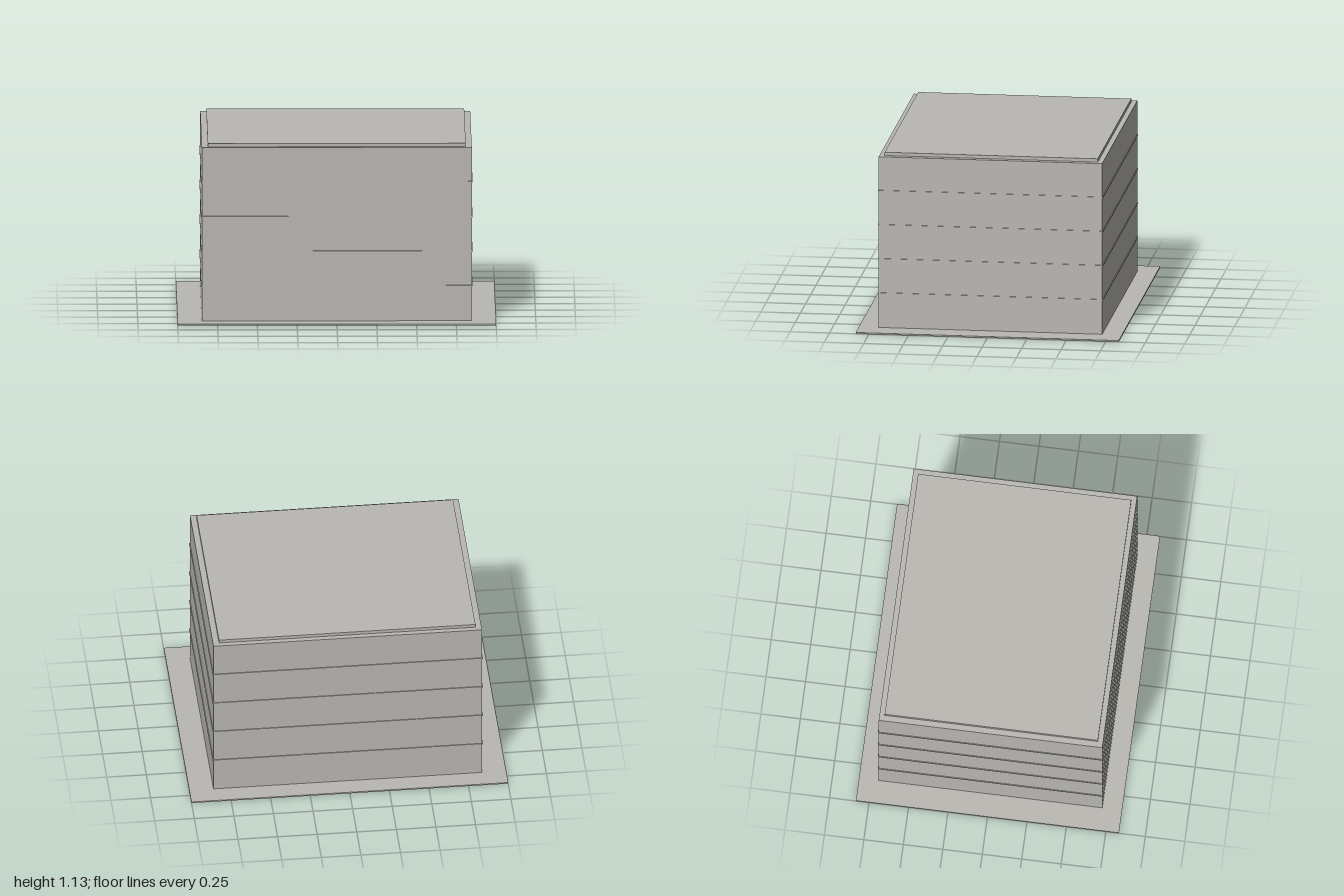
import * as THREE from 'three';

export function createModel() {
  const model = new THREE.Group();
  const concrete = new THREE.MeshStandardMaterial({ color: 0xbab8b3 });
  concrete.name = 'warm grey concrete';

  // Box placed by its underside, so parts stack upwards
  const addSlab = (name, width, height, depth, bottom) => {
    const mesh = new THREE.Mesh(new THREE.BoxGeometry(width, height, depth), concrete);
    mesh.name = name;
    mesh.position.y = bottom + height / 2;
    model.add(mesh);
  };

  const plinth = 0.009, storey = 0.2206, floors = 5, band = 0.008;
  const roofLevel = plinth + floors * storey;

  // Ground plate, main block and raised roof
  addSlab('groundPlate', 2, plinth, 1.666, 0);
  addSlab('buildingBlock', 1.696, roofLevel - plinth, 1.416, plinth);
  addSlab('roofSlab', 1.62, 0.021, 1.35, roofLevel);

  // Thin bands that mark each storey
  for (let i = 1; i < floors; i++) {
    addSlab(`floorBand${i}`, 1.706, band, 1.426, plinth + i * storey - band / 2 + 0.001);
  }
  return model;
}
